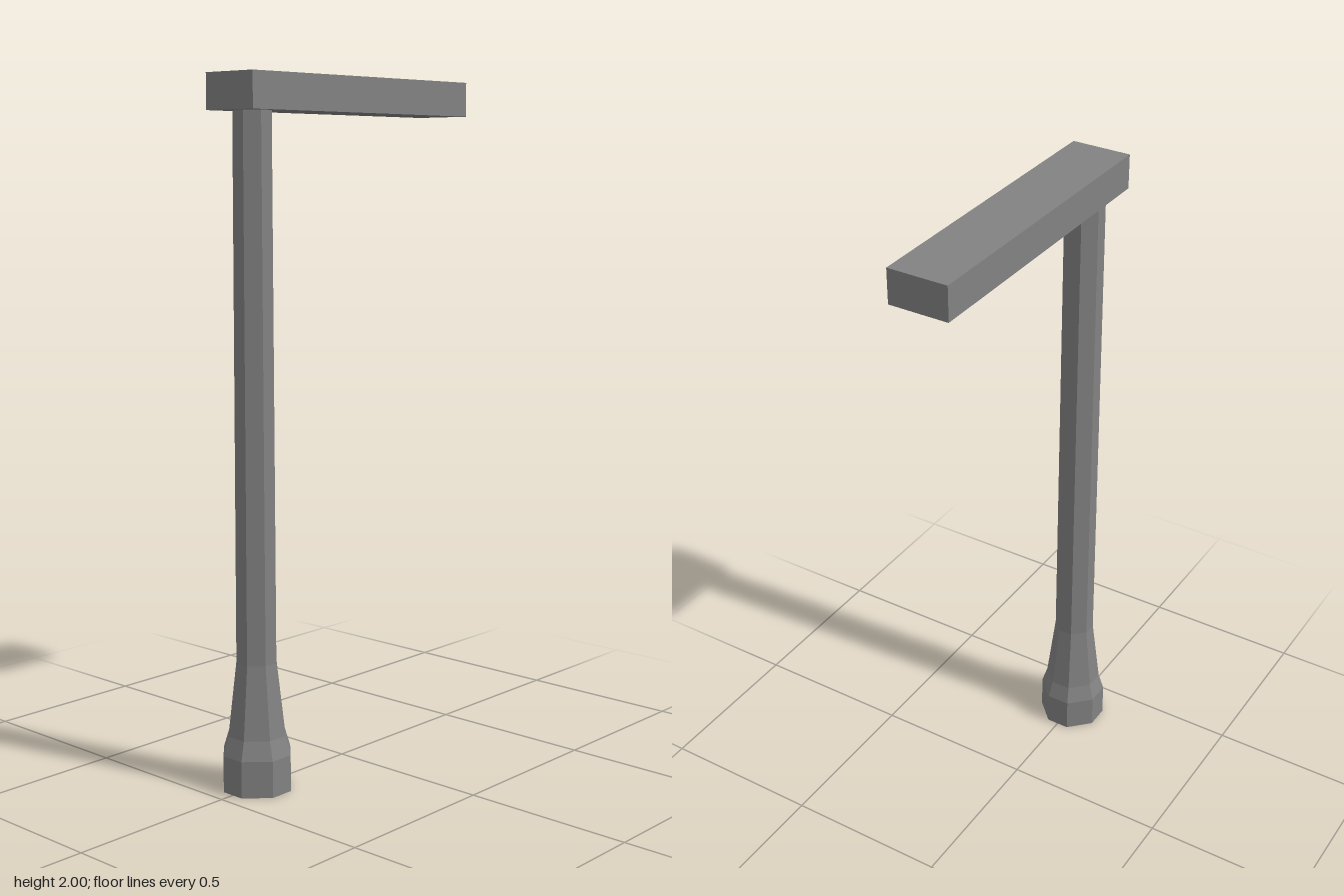
import * as THREE from 'three';

const material = new THREE.MeshStandardMaterial({ color: 0x828282, flatShading: true });
const SIDES = 8;
const FLAT_SCALE = 0.89; // front, back and side flats are a little narrower than the diagonals

// Eight-sided post from [distance to flat face, height] pairs, flats facing front and sides
function octagonalPost(profile) {
  const toCorner = 1 / Math.cos(Math.PI / SIDES);
  const points = profile.map(([r, y]) => new THREE.Vector2(r * toCorner, y));
  const geometry = new THREE.LatheGeometry(points, SIDES, Math.PI / SIDES).toNonIndexed();
  const position = geometry.attributes.position;
  for (let i = 0; i < position.count; i++) {
    const x = position.getX(i), z = position.getZ(i);
    if (Math.abs(x) < Math.abs(z)) position.setX(i, x * FLAT_SCALE);
    else position.setZ(i, z * FLAT_SCALE);
  }
  geometry.computeVertexNormals();
  return geometry;
}

export function createModel() {
  const model = new THREE.Group();
  model.name = 'streetLamp';

  // Post: straight foot, flared collar, then a slightly tapering shaft
  const post = new THREE.Mesh(octagonalPost([
    [0, 0], [0.098, 0], [0.098, 0.106], [0.082, 0.16],
    [0.058, 0.37], [0.0545, 1.902], [0, 1.902],
  ]), material);
  post.name = 'post';
  post.position.z = 0.359;
  model.add(post);

  // Lamp arm: flat bar reaching backwards from the top of the post
  const arm = new THREE.Mesh(new THREE.BoxGeometry(0.178, 0.1, 0.901), material);
  arm.name = 'lampArm';
  arm.position.set(0, 1.95, -0.0065);
  model.add(arm);

  return model;
}
